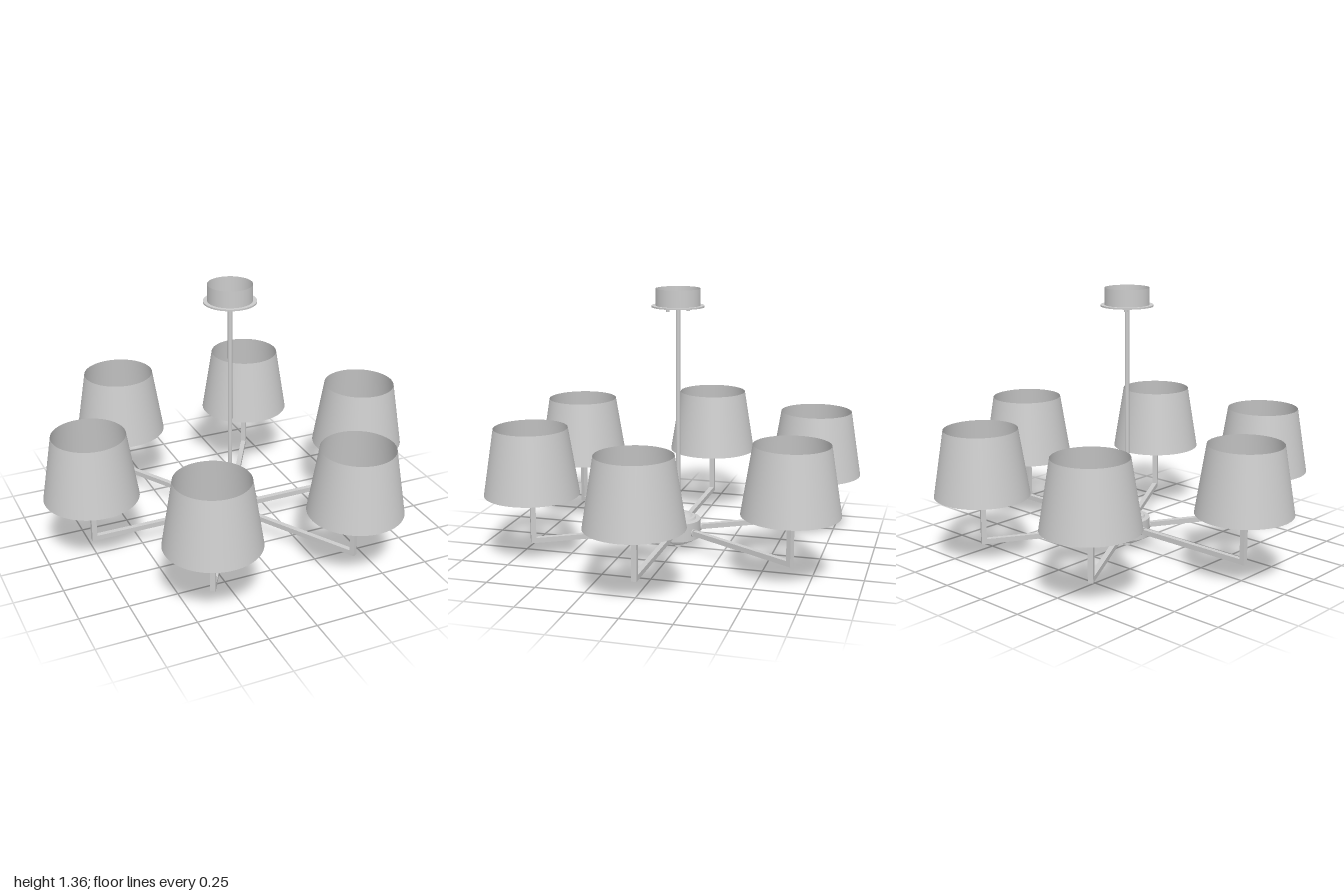
import * as THREE from 'three';
import { toCreasedNormals } from 'three/addons/utils/BufferGeometryUtils.js';

const ARM_REACH = 0.758;
const ARM_WIDTH = 0.026;
const ARM_Y = 0.1;

const metal = new THREE.MeshStandardMaterial({ color: 0xcccccc });
const thin = new THREE.MeshStandardMaterial({ color: 0xcccccc, side: THREE.DoubleSide });

function add(parent, name, geometry, x = 0, y = 0, z = 0, material = metal) {
  const mesh = new THREE.Mesh(geometry, material);
  mesh.name = name;
  mesh.position.set(x, y, z);
  parent.add(mesh);
  return mesh;
}

// Turned part from [radius, height] pairs, listed from bottom to top
function turned(points, segments = 48) {
  const profile = points.map(([r, y]) => new THREE.Vector2(r, y));
  return toCreasedNormals(new THREE.LatheGeometry(profile, segments), 0.5);
}

// Upright cylinder between two heights
function post(radius, y0, y1, segments = 24) {
  return new THREE.CylinderGeometry(radius, radius, y1 - y0, segments).translate(0, (y0 + y1) / 2, 0);
}

// One arm along +x with its socket, bulb and shade
function createArm() {
  const arm = new THREE.Group();
  const halfWidth = ARM_WIDTH / 2;
  const start = 0.08;
  const end = ARM_REACH + halfWidth;
  add(arm, 'armBar', new THREE.BoxGeometry(end - start, ARM_WIDTH, ARM_WIDTH), (start + end) / 2, ARM_Y, 0);
  const base = ARM_Y + halfWidth;
  add(arm, 'armUpright', new THREE.BoxGeometry(ARM_WIDTH, 0.33 - base, ARM_WIDTH), ARM_REACH, (0.33 + base) / 2, 0);

  // Small collar where the arm enters the hub
  const collar = new THREE.CylinderGeometry(0.022, 0.022, 0.03, 20).rotateZ(Math.PI / 2);
  add(arm, 'armCollar', collar, 0.107, ARM_Y, 0);

  add(arm, 'socket', turned([[0, 0.323], [0.028, 0.323], [0.028, 0.329], [0.037, 0.329],
    [0.037, 0.455], [0, 0.455]], 24), ARM_REACH);
  add(arm, 'bulb', new THREE.SphereGeometry(0.05, 24, 16), ARM_REACH, 0.5, 0);

  // Tapered shade, open at both ends
  add(arm, 'shade', new THREE.CylinderGeometry(0.185, 0.24, 0.34, 64, 1, true), ARM_REACH, 0.515, 0, thin);
  return arm;
}

export function createModel() {
  const model = new THREE.Group();
  model.name = 'chandelier';

  // Stepped hub with a finial below
  add(model, 'hub', turned([
    [0, 0], [0.018, 0], [0.018, 0.022], [0.045, 0.022], [0.052, 0.032], [0.066, 0.032],
    [0.072, 0.043], [0.088, 0.043], [0.094, 0.056], [0.117, 0.06],
    [0.117, 0.155], [0.094, 0.158], [0.088, 0.168], [0.075, 0.17],
    [0.064, 0.181], [0.045, 0.188], [0.02, 0.191], [0, 0.191],
  ]));

  add(model, 'stem', post(0.0115, 0.18, 1.266, 20));

  // Ceiling cup, open on top, standing on a thin flange
  add(model, 'canopyFlange', post(0.133, 1.262, 1.27, 48));
  add(model, 'canopyCup', new THREE.CylinderGeometry(0.113, 0.113, 0.085, 48, 1, true), 0, 1.3125, 0, thin);
  for (const side of [1, -1]) {
    add(model, 'canopyScrew', post(0.009, 1.24, 1.265, 12), side * 0.032, 0, side * 0.045);
  }

  for (let i = 0; i < 6; i++) {
    const arm = createArm();
    arm.name = 'arm' + (i + 1);
    arm.rotation.y = (i * Math.PI) / 3;
    model.add(arm);
  }
  return model;
}
